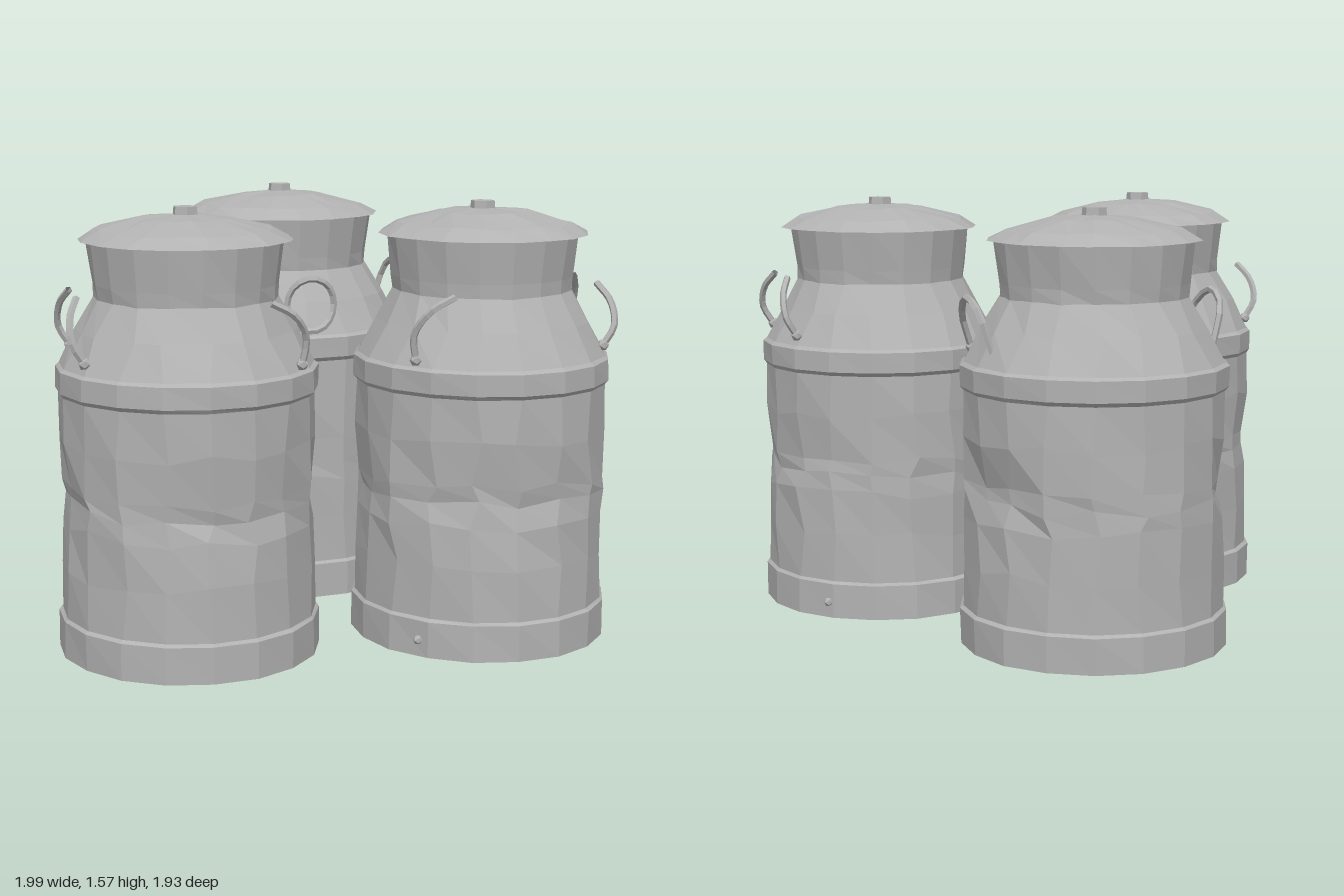
import * as THREE from 'three';

const SEG = 18;
const metal = new THREE.MeshStandardMaterial({ color: 0xb2b2b2, flatShading: true, side: THREE.DoubleSide });
metal.name = 'dull steel';

const V = (x, y, z) => new THREE.Vector3(x, y, z);

function seeded(seed) {
  return () => {
    seed = (seed * 16807) % 2147483647;
    return seed / 2147483647;
  };
}

// Low-poly lathe whose vertices are shifted by rule(angle, radius, y) -> [dAngle, dRadius, dY]
function roughLathe(profile, rule) {
  const geo = new THREE.LatheGeometry(profile.map(([r, y]) => new THREE.Vector2(r, y)), SEG);
  const pos = geo.attributes.position;
  const n = profile.length;
  for (let j = 0; j < n; j++) {
    for (let i = 0; i < SEG; i++) {
      const [r, y] = profile[j];
      const a = (i / SEG) * Math.PI * 2;
      const [da, dr, dy] = r > 0 ? rule(a, r, y) : [0, 0, 0];
      const p = [(r + dr) * Math.sin(a + da), y + dy, (r + dr) * Math.cos(a + da)];
      pos.setXYZ(i * n + j, ...p);
      if (i === 0) pos.setXYZ(SEG * n + j, ...p);
    }
  }
  geo.computeVertexNormals();
  return geo;
}

function part(parent, name, geo) {
  const mesh = new THREE.Mesh(geo, metal);
  mesh.name = name;
  parent.add(mesh);
  return mesh;
}

function handle(parent, name, points, closed = false) {
  const curve = new THREE.CatmullRomCurve3(points, closed);
  part(parent, name, new THREE.TubeGeometry(curve, closed ? 18 : 10, 0.013, 5, closed));
  if (!closed) {
    const foot = part(parent, name + 'Foot', new THREE.IcosahedronGeometry(0.022, 0));
    foot.position.copy(points[0]);
  }
}

// dents: [angle, height, depth, angular reach]
function milkCan(name, seed, dents, sx, sz) {
  const can = new THREE.Group();
  can.name = name;
  const rnd = seeded(seed);

  // Straight body with base band, rows for the dents and a raised rim
  const body = roughLathe([
    [0, 0.005], [0.463, 0.005], [0.463, 0.135], [0.452, 0.145], [0.45, 0.32], [0.45, 0.48],
    [0.45, 0.56], [0.45, 0.61], [0.45, 0.77], [0.449, 0.93], [0.461, 0.945], [0.461, 1.02], [0.445, 1.032],
  ], (a, r, y) => {
    if (y < 0.2 || y > 0.9) return [0, (rnd() - 0.5) * 0.005, 0];
    let dr = (rnd() - 0.5) * 0.008;
    for (const [da, dy, depth, reach] of dents) {
      const d = Math.abs(Math.atan2(Math.sin(a - da), Math.cos(a - da))) / reach;
      const h = Math.abs(y - dy) / 0.13;
      if (d < 1 && h < 1) dr -= depth * (1 - d * d) * (1 - h);
    }
    return [(rnd() - 0.5) * 0.1, dr, (rnd() - 0.5) * 0.04];
  });
  part(can, 'body', body).scale.set(sx, 1, sz);

  // Sloping shoulder
  const shoulder = roughLathe([[0.447, 1.03], [0.385, 1.15], [0.322, 1.262]],
    (a, r) => [r === 0.385 ? (rnd() - 0.5) * 0.15 : 0, r === 0.385 ? (rnd() - 0.5) * 0.012 : 0, 0]);
  part(can, 'shoulder', shoulder).scale.set(sx, 1, sz);

  // Flared neck
  const neck = roughLathe([[0.322, 1.258], [0.326, 1.31], [0.345, 1.465]],
    () => [0, (rnd() - 0.5) * 0.006, 0]);
  part(can, 'neck', neck).scale.set(sx, 1, sz);

  // Shallow domed lid with a six-sided knob
  const lid = roughLathe([[0, 1.458], [0.378, 1.46], [0.31, 1.498], [0.16, 1.535], [0, 1.55]],
    (a, r) => [(rnd() - 0.5) * 0.14, (rnd() - 0.5) * 0.018, r < 0.35 ? (rnd() - 0.5) * 0.012 : 0]);
  part(can, 'lid', lid).scale.set(1.01, 1, 1.035);
  part(can, 'lidKnob', new THREE.CylinderGeometry(0.043, 0.047, 0.04, 6)).position.y = 1.553;
  return can;
}

export function createModel() {
  const model = new THREE.Group();
  model.name = 'milkCans';

  // Two front cans, mirrored, with bent and broken handles
  for (const s of [-1, 1]) {
    const dents = [
      [s * 0.1, 0.56, 0.035, 0.4], [-s * 0.5, 0.58, 0.03, 0.35], [s * 1.5, 0.56, 0.025, 0.4],
      [s * 2.2, 0.6, 0.025, 0.4], [-s * 1.6, 0.56, 0.03, 0.35],
    ];
    const can = milkCan(s < 0 ? 'rightFrontCan' : 'leftFrontCan', s < 0 ? 4127 : 9341, dents, 1, 1.05);
    can.position.set(s * 0.539, 0, 0.47);
    for (const e of [-1, 1]) {
      handle(can, 'outerHandleHalf', [
        V(s * 0.385, 1.07, e * 0.22), V(s * 0.425, 1.14, e * 0.22),
        V(s * 0.425, 1.22, e * 0.18), V(s * 0.395, 1.28, e * 0.115),
      ]);
    }
    handle(can, 'innerHandleHalf', [
      V(-s * 0.34, 1.06, 0.33), V(-s * 0.35, 1.15, 0.345),
      V(-s * 0.3, 1.235, 0.385), V(-s * 0.22, 1.28, 0.395),
    ]);
    model.add(can);

    // Small rivets on the base band of one can
    if (s > 0) {
      for (const a of [-0.78, 2.4]) {
        const rivet = part(can, 'baseRivet', new THREE.IcosahedronGeometry(0.018, 0));
        rivet.position.set(0.462 * Math.sin(a), 0.065, 0.482 * Math.cos(a));
      }
    }
  }

  // Rear can, slightly wider, with a full handle on each side
  const rear = milkCan('rearCan', 2718, [[1.9, 0.59, 0.05, 0.35], [-1.9, 0.59, 0.05, 0.35]], 1.05, 1.07);
  rear.position.set(0, 0, -0.475);
  for (const s of [-1, 1]) {
    handle(rear, 'sideHandle', [
      V(s * 0.4, 1.07, 0.19), V(s * 0.445, 1.19, 0.15), V(s * 0.465, 1.265, 0.04),
      V(s * 0.455, 1.22, -0.08), V(s * 0.415, 1.08, -0.11),
    ]);
    rear.children.at(-1).position.z += 0;
  }

  // Loose ring hanging in front of the rear can
  const ring = [];
  for (let i = 0; i < 10; i++) {
    const a = (i / 10) * Math.PI * 2;
    ring.push(V(0.09 * Math.cos(a), 1.16 + 0.1 * Math.sin(a), 0.57 - 0.03 * Math.cos(a) ** 2));
  }
  handle(rear, 'frontRing', ring, true);
  model.add(rear);
  return model;
}
